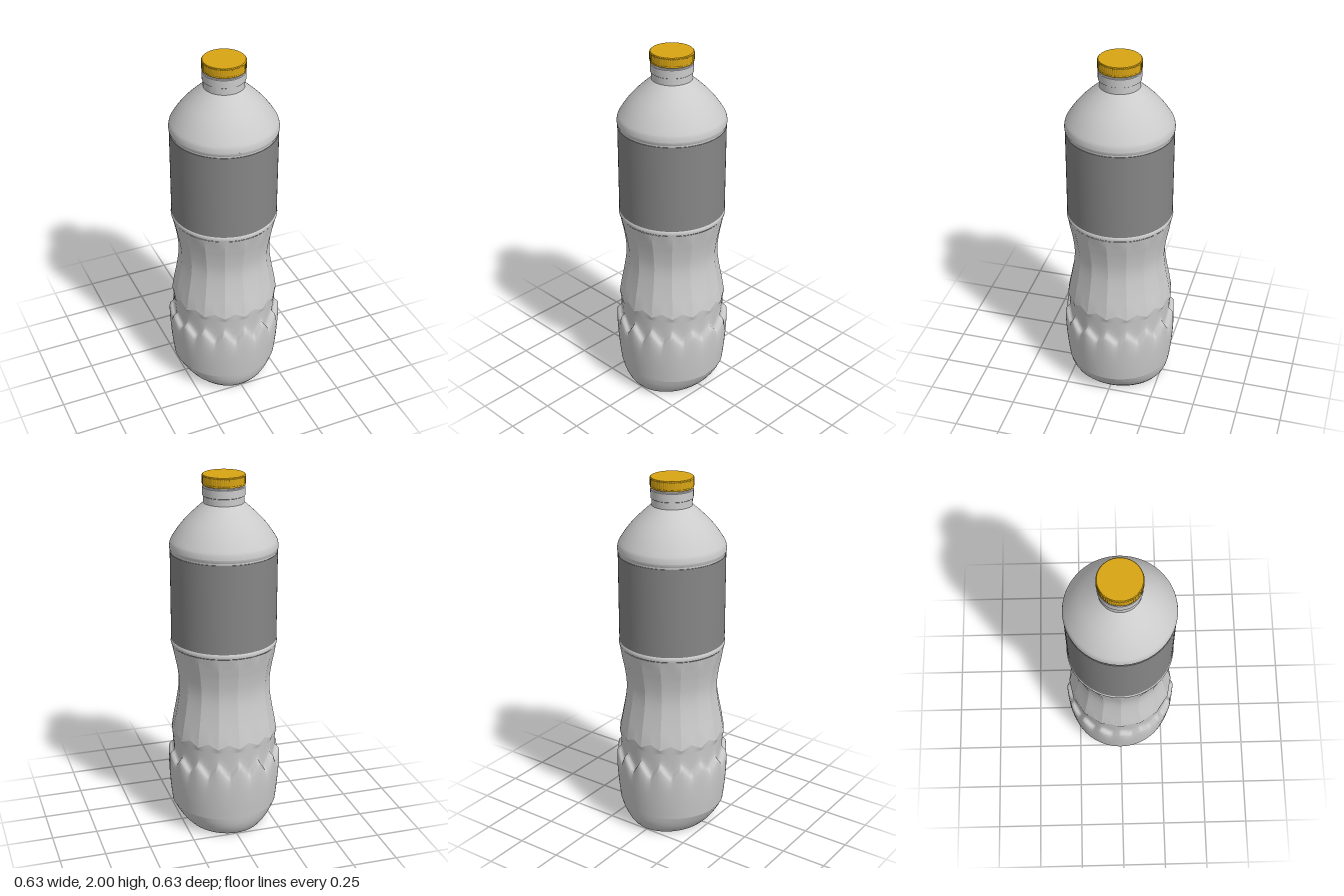
import * as THREE from 'three';
import { toCreasedNormals } from 'three/addons/utils/BufferGeometryUtils.js';

const PANELS = 16;
const SEGMENTS = 128;

// Stack of closed rings; each row is [y, radius, ...extras], and shape() may bend a ring by angle
function loft(rows, shape = (t, [y, r]) => [r * Math.sin(t), y, r * Math.cos(t)]) {
  const positions = [], index = [];
  rows.forEach((row, j) => {
    for (let i = 0; i < SEGMENTS; i++) {
      positions.push(...shape((i / SEGMENTS) * Math.PI * 2, row));
      if (j === 0) continue;
      const next = (i + 1) % SEGMENTS;
      const a = (j - 1) * SEGMENTS + i, b = (j - 1) * SEGMENTS + next;
      const c = j * SEGMENTS + next, d = j * SEGMENTS + i;
      index.push(a, b, c, a, c, d);
    }
  });
  const geometry = new THREE.BufferGeometry();
  geometry.setAttribute('position', new THREE.Float32BufferAttribute(positions, 3));
  geometry.setIndex(index);
  geometry.computeVertexNormals();
  return geometry;
}

// Smooth rows through a few [radius, y] points
function curveRows(points, count) {
  const curve = new THREE.SplineCurve(points.map(([r, y]) => new THREE.Vector2(r, y)));
  return curve.getPoints(count).map((p) => [p.y, p.x]);
}

// 1 on a panel edge, -1 in the middle of a panel
function zigzag(t) {
  const u = (t / (Math.PI * 2)) * PANELS;
  return 4 * Math.abs(u - Math.floor(u) - 0.5) - 1;
}

// Radius factor that turns a circle into a polygon with PANELS sides
function polygon(t) {
  const step = (Math.PI * 2) / PANELS;
  const local = t - Math.floor(t / step) * step - step / 2;
  return Math.cos(step / 2) / Math.cos(local);
}

export function createModel() {
  const group = new THREE.Group();
  const plastic = new THREE.MeshStandardMaterial({ color: 0xcccccc, side: THREE.DoubleSide });
  const labelMaterial = new THREE.MeshStandardMaterial({ color: 0x868686 });
  const capMaterial = new THREE.MeshStandardMaterial({ color: 0xd9a514 });

  const add = (name, geometry, material = plastic) => {
    const mesh = new THREE.Mesh(geometry, material);
    mesh.name = name;
    group.add(mesh);
  };
  const turned = (points, segments = 64) =>
    toCreasedNormals(new THREE.LatheGeometry(points.map(([r, y]) => new THREE.Vector2(r, y)), segments), 0.6);

  // Base: hollow underside and rounded foot, a little narrower across x at the floor
  const base = [
    [0.07, 0.001], [0.068, 0.07], [0.055, 0.14], [0.03, 0.19], [0.008, 0.208], [0, 0.22],
    [0.004, 0.232], [0.03, 0.254], [0.06, 0.271], [0.09, 0.284], [0.12, 0.293],
  ];
  add('base', toCreasedNormals(loft(base, (t, [y, r]) => {
    const oval = 0.08 * (1 - y / 0.12);
    return [r * (1 - oval) * Math.sin(t), y, r * (1 + oval) * Math.cos(t)];
  }), 0.7));

  // Swollen grip with a toothed upper edge; the third value is the strength of the teeth
  const grip = [
    [0.12, 0.294, 0], [0.17, 0.3, 0], [0.22, 0.305, 0.05], [0.27, 0.309, 0.15],
    [0.32, 0.312, 0.35], [0.36, 0.312, 0.65], [0.39, 0.31, 0.9], [0.405, 0.306, 1],
    [0.415, 0.296, 1], [0.423, 0.287, 1], [0.445, 0.285, 0.7], [0.48, 0.286, 0.3], [0.525, 0.289, 0],
  ];
  add('grip', loft(grip, (t, [y, r, teeth]) => {
    const z = zigzag(t);
    const height = 0.028 + 0.014 * Math.cos(t) ** 2;
    const radius = r + 0.005 * teeth * z;
    return [radius * Math.sin(t), y + height * teeth * z, radius * Math.cos(t)];
  }));

  // Scalloped lip where the waist panels meet the grip
  const scallop = (t, [y, r, wave, flat]) => {
    const radius = r * THREE.MathUtils.lerp(1, polygon(t), flat);
    return [radius * Math.sin(t), y - 0.014 * wave * zigzag(t), radius * Math.cos(t)];
  };
  add('scallopedLip', loft([[0.525, 0.289, 0, 0], [0.545, 0.293, 0.6, 0.4], [0.56, 0.297, 1, 1]], scallop));

  // Pinched waist made of flat panels
  const waist = curveRows([
    [0.297, 0.56], [0.286, 0.62], [0.27, 0.7], [0.256, 0.79],
    [0.254, 0.86], [0.264, 0.94], [0.278, 1.01], [0.287, 1.07],
  ], 28).map(([y, r]) => [y, r,
    Math.max(0, 1 - (y - 0.56) / 0.08),
    Math.min(1, (1.07 - y) / 0.06)]);
  add('waist', toCreasedNormals(loft(waist, scallop), 0.25));

  // Beads above and below the label
  add('lowerBead', turned([[0.282, 1.068], [0.289, 1.073], [0.291, 1.083], [0.289, 1.093], [0.284, 1.1]], 96));
  add('upperBead', turned([[0.284, 1.585], [0.287, 1.592], [0.286, 1.598], [0.29, 1.606], [0.291, 1.616]], 96));

  // Label sleeve
  add('label', turned([[0.28, 1.098], [0.288, 1.099], [0.288, 1.588], [0.28, 1.589]], 96), labelMaterial);

  // Domed shoulder
  add('shoulder', loft(curveRows([
    [0.291, 1.616], [0.288, 1.636], [0.28, 1.656], [0.248, 1.705],
    [0.212, 1.75], [0.168, 1.795], [0.127, 1.833], [0.108, 1.85],
  ], 28)));

  // Neck with its flange
  add('neck', turned([
    [0.108, 1.848], [0.108, 1.887], [0.113, 1.89], [0.113, 1.934], [0.11, 1.938], [0.1, 1.938], [0.1, 1.96],
  ]));

  // Ribbed screw cap
  const cap = [[1.946, 0.09, 0], [1.946, 0.114, 0], [1.954, 0.115, 0], [1.956, 0.114, 1],
    [1.993, 0.114, 1], [1.997, 0.114, 0], [2, 0.111, 0], [2, 0, 0]];
  add('cap', toCreasedNormals(loft(cap, (t, [y, r, rib]) => {
    const radius = r + 0.0025 * rib * (Math.round((t / (Math.PI * 2)) * SEGMENTS) % 2);
    return [radius * Math.sin(t), y, radius * Math.cos(t)];
  }), 0.5), capMaterial);

  return group;
}
